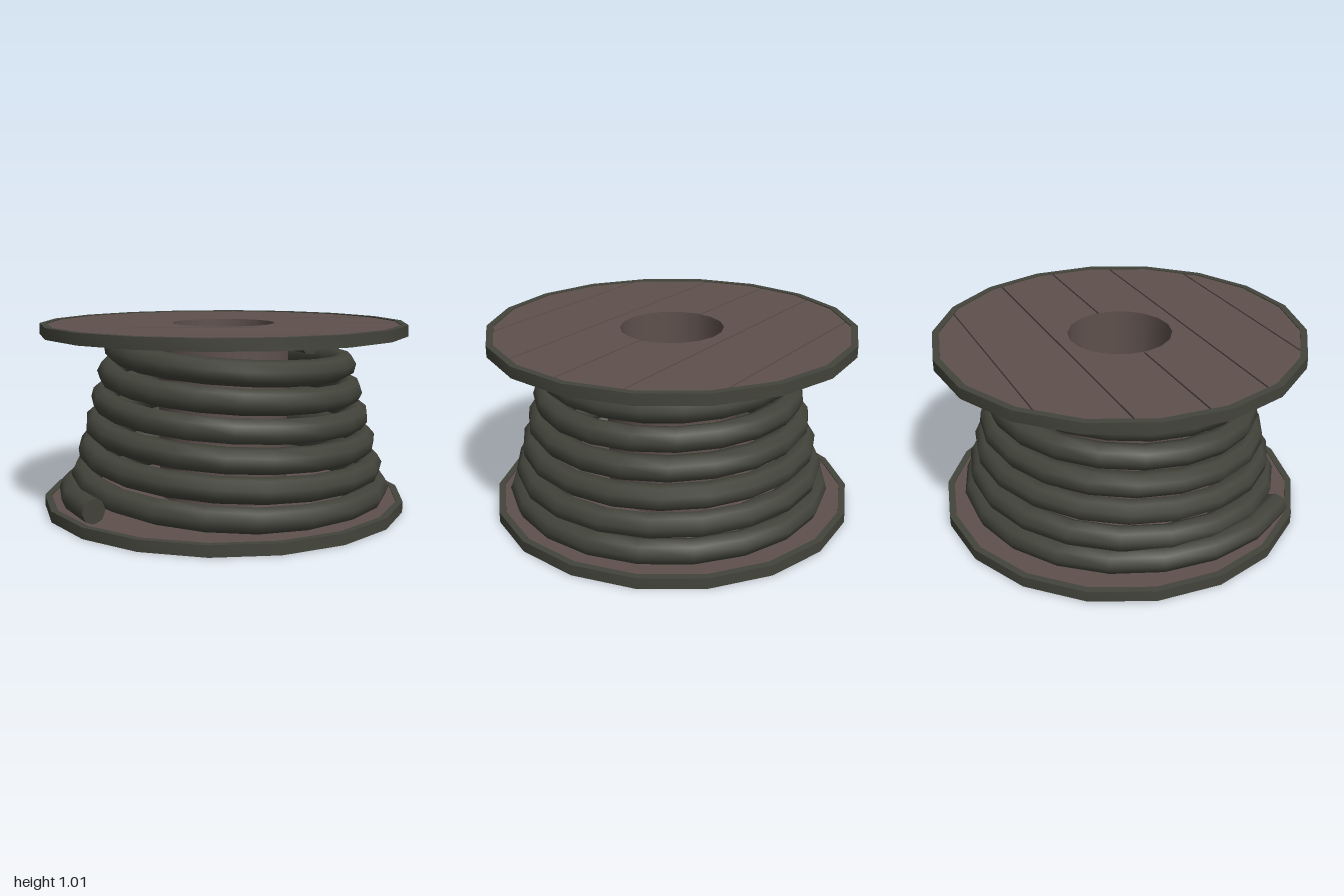
import * as THREE from 'three';
import { toCreasedNormals } from 'three/addons/utils/BufferGeometryUtils.js';

const SIDES = 18, STEP = (2 * Math.PI) / SIDES;
const HOLE = 0.28, RIM = 0.963, THICK = 0.06, HEIGHT = 1.015;
const PLANK_ANGLE = THREE.MathUtils.degToRad(35);

const wood = new THREE.MeshStandardMaterial({ color: 0x5f514d });
const woodOpen = new THREE.MeshStandardMaterial({ color: 0x5f514d, side: THREE.DoubleSide });
const metal = new THREE.MeshStandardMaterial({ color: 0x43443b });
const ropeMat = new THREE.MeshStandardMaterial({ color: 0x42433a });

function add(group, name, geometry, material) {
  const mesh = new THREE.Mesh(geometry, material);
  mesh.name = name;
  group.add(mesh);
}

// Point on the 18-sided outline (a corner lies on +z) at any angle
function onPolygon(r, angle) {
  const a = THREE.MathUtils.euclideanModulo(angle - Math.PI / 2, STEP) - STEP / 2;
  const d = (r * Math.cos(STEP / 2)) / Math.cos(a);
  return new THREE.Vector2(d * Math.cos(angle), d * Math.sin(angle));
}

// Outline from one angle to another, with every corner between
function arc(r, from, to) {
  const angles = [from];
  const first = Math.PI / 2 + Math.ceil((from - Math.PI / 2) / STEP + 1e-4) * STEP;
  for (let a = first; a < to - 1e-4; a += STEP) angles.push(a);
  angles.push(to);
  return angles.map((a) => onPolygon(r, a));
}

// Horizontal slab with its top at the given height
function slab(shape, top, height) {
  const g = new THREE.ExtrudeGeometry(shape, { depth: height, bevelEnabled: false });
  return toCreasedNormals(g.rotateX(Math.PI / 2).translate(0, top, 0), 0.5);
}

function ring(outer, inner) {
  const loop = (r) => Array.from({ length: SIDES }, (_, i) => onPolygon(r, Math.PI / 2 + i * STEP));
  const shape = new THREE.Shape(loop(outer));
  shape.holes.push(new THREE.Path(loop(inner)));
  return shape;
}

// Keep the part of a polygon where (point . normal) >= limit
function clip(points, normal, limit) {
  const out = [];
  points.forEach((p, i) => {
    const q = points[(i + 1) % points.length];
    const dp = p.dot(normal) - limit, dq = q.dot(normal) - limit;
    if (dp >= 0) out.push(p);
    if (dp * dq < 0) out.push(p.clone().lerp(q, dp / (dp - dq)));
  });
  return out;
}

// Six planks: three bands on each side of the centre line
function plankShapes() {
  const gap = 0.005, bands = [[0, 0.352], [0.352, 0.73], [0.73, 1.1]], shapes = [];
  for (const start of [PLANK_ANGLE, PLANK_ANGLE + Math.PI]) {
    const normal = new THREE.Vector2(-Math.sin(start), Math.cos(start));
    const half = [...arc(RIM, start, start + Math.PI), ...arc(HOLE, start, start + Math.PI).reverse()];
    for (const [a, b] of bands) {
      const cut = clip(clip(half, normal, a + gap), normal.clone().negate(), gap - b);
      shapes.push(new THREE.Shape(cut));
    }
  }
  return shapes;
}

// Flange: metal rim, wooden board, grooved planks on the outward face
function makeFlange(name, top, outward) {
  const g = new THREE.Group();
  g.name = name;
  const recess = 0.005, depth = 0.012;
  add(g, 'rim', slab(ring(1, RIM), top, THICK), metal);
  const boardTop = outward > 0 ? top - recess - depth : top - recess;
  add(g, 'board', slab(ring(RIM, HOLE), boardTop, THICK - 2 * recess - depth), wood);
  const plankTop = outward > 0 ? top - recess : top - THICK + recess + depth;
  for (const s of plankShapes()) add(g, 'plank', slab(s, plankTop, depth), wood);
  return g;
}

// Rope path: a rising, narrowing coil; t counts turns
const T0 = -0.27, T1 = 6.27, ROPE = 0.067, ROPE_SIDES = 8, ROPE_STEPS = 132;
class Coil extends THREE.Curve {
  getPoint(u, target = new THREE.Vector3()) {
    const t = T0 + u * (T1 - T0), a = t * 2 * Math.PI;
    let r = 0.905 - ROPE - 0.038 * t;
    let y = 0.071 + 0.1375 * t + 0.03 * Math.cos(a);
    y = THREE.MathUtils.clamp(y, 0.118, 0.893);
    if (t < 0) r += t * t; // loose lower end swings out
    if (t > 6) { // upper end tucks in
      r -= 0.7 * (t - 6) ** 2;
      y -= 0.3 * (t - 6) ** 2;
    }
    return target.set(0.0125 + r * Math.sin(a), y, 0.0275 - r * Math.cos(a));
  }
  // Even steps in angle rather than in length
  getUtoTmapping(u) { return u; }
}

function makeRope() {
  const g = new THREE.Group();
  g.name = 'rope';
  const tube = new THREE.TubeGeometry(new Coil(), ROPE_STEPS, ROPE, ROPE_SIDES, false);
  add(g, 'coil', tube, ropeMat);
  // Flat caps spanning the first and last rings of the tube
  const position = tube.attributes.position;
  for (const first of [0, ROPE_STEPS * (ROPE_SIDES + 1)]) {
    const corners = Array.from({ length: ROPE_SIDES }, (_, i) =>
      new THREE.Vector3().fromBufferAttribute(position, first + i));
    const index = [];
    for (let i = 1; i < ROPE_SIDES - 1; i++) index.push(0, i, i + 1);
    const cap = new THREE.BufferGeometry().setFromPoints(corners);
    cap.setIndex(first ? index.reverse() : index);
    cap.computeVertexNormals();
    const side = ropeMat.clone();
    side.side = THREE.DoubleSide;
    add(g, 'ropeEnd', cap, side);
  }
  return g;
}

export function createModel() {
  const model = new THREE.Group();
  model.name = 'cableSpool';
  model.add(makeFlange('bottomFlange', THICK, -1));
  model.add(makeFlange('topFlange', HEIGHT, 1));

  // Hollow drum: outer wall and bore
  const mid = HEIGHT / 2;
  const wall = new THREE.CylinderGeometry(0.36, 0.36, HEIGHT - 2 * THICK + 0.02, SIDES, 1, true);
  add(model, 'drum', wall.translate(0, mid, 0), woodOpen);
  const bore = new THREE.CylinderGeometry(HOLE - 0.002, HOLE - 0.002, HEIGHT - 0.01, SIDES, 1, true);
  add(model, 'bore', bore.translate(0, mid, 0), woodOpen);

  model.add(makeRope());
  return model;
}
